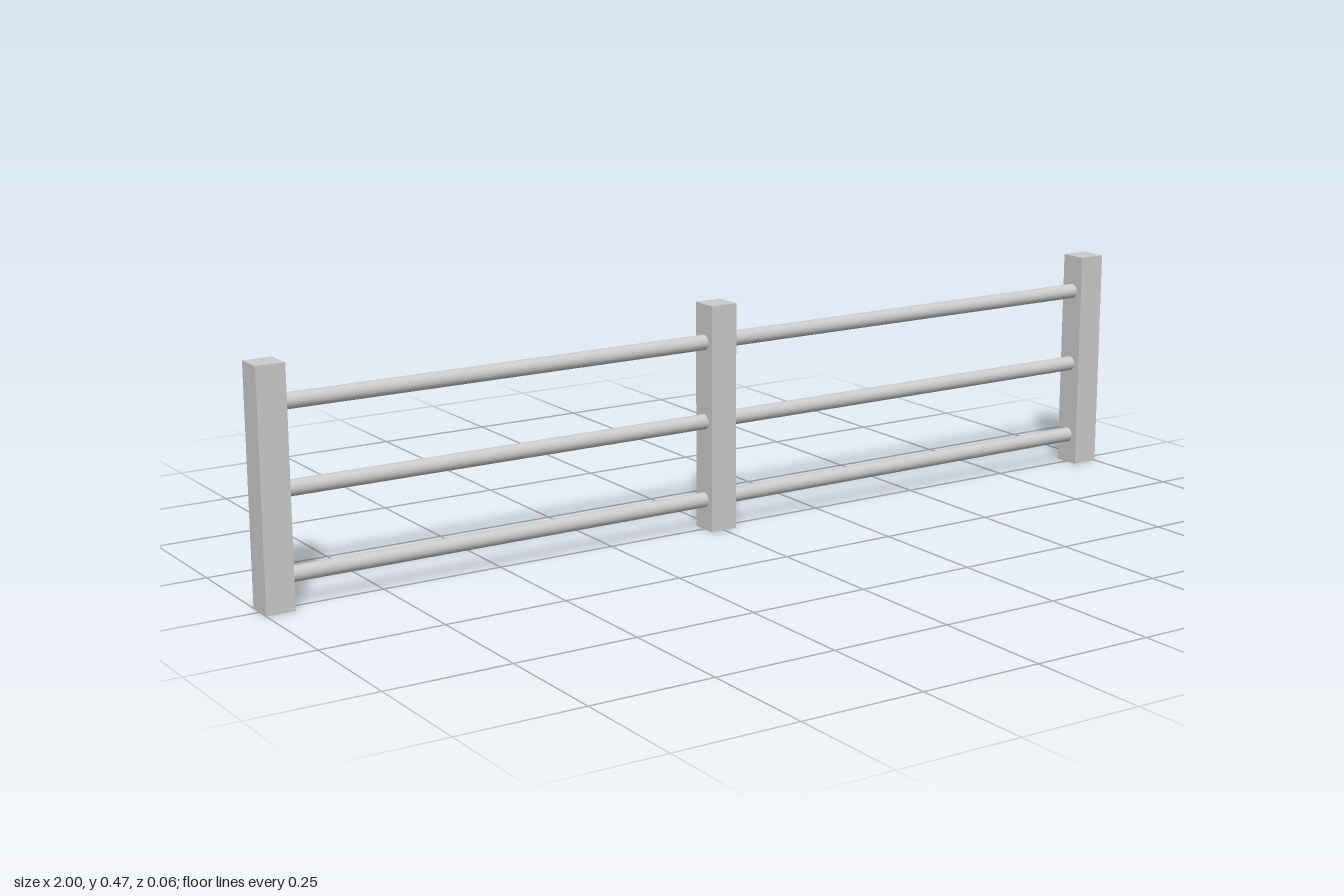
import * as THREE from 'three';

const POST = 0.058, HEIGHT = 0.466, RAIL_RADIUS = 0.0155;

export function createModel() {
  const fence = new THREE.Group();
  fence.name = 'fence';
  const material = new THREE.MeshStandardMaterial({ color: 0xcccccc });

  // Square posts: right end, middle, left end
  const postX = 1 - POST / 2;
  const postGeometry = new THREE.BoxGeometry(POST, HEIGHT, POST);
  [['rightPost', -postX], ['middlePost', 0], ['leftPost', postX]].forEach(([name, x]) => {
    const post = new THREE.Mesh(postGeometry, material);
    post.name = name;
    post.position.set(x, HEIGHT / 2, 0);
    fence.add(post);
  });

  // Round rails spanning each bay between neighbouring posts
  const railGeometry = new THREE.CylinderGeometry(RAIL_RADIUS, RAIL_RADIUS, postX - POST, 24);
  railGeometry.rotateZ(Math.PI / 2);
  [['lower', 0.062], ['middle', 0.225], ['upper', 0.388]].forEach(([level, y]) => {
    for (const side of [-1, 1]) {
      const rail = new THREE.Mesh(railGeometry, material);
      rail.name = `${level}${side < 0 ? 'Right' : 'Left'}Rail`;
      rail.position.set(side * postX / 2, y, 0);
      fence.add(rail);
    }
  });

  return fence;
}
